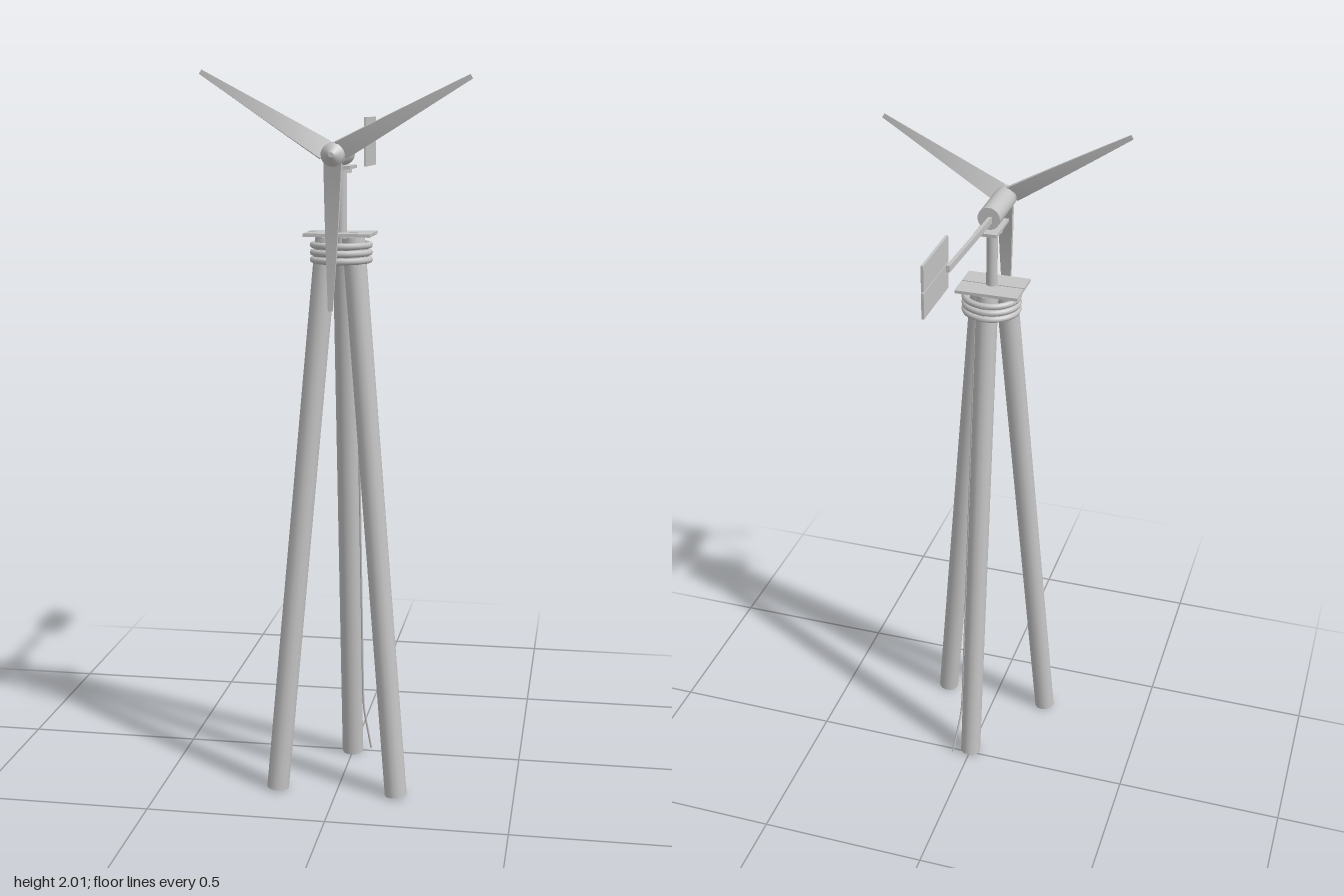
import * as THREE from 'three';

export function createModel() {
  const model = new THREE.Group();
  model.name = 'windPump';
  const grey = new THREE.MeshStandardMaterial({ color: 0xc4c4c4 });
  grey.name = 'grey metal';
  const AXIS_Z = 0.206; // tower centre line
  const HUB_Y = 1.79;

  const add = (name, geometry, x = 0, y = 0, z = 0, parent = model) => {
    const mesh = new THREE.Mesh(geometry, grey);
    mesh.name = name;
    mesh.position.set(x, y, z);
    parent.add(mesh);
    return mesh;
  };
  const box = (name, w, h, d, x, y, z) => add(name, new THREE.BoxGeometry(w, h, d), x, y, z);
  // Aligns a part's y axis with the line from a to b
  const between = (name, geometry, a, b) => {
    const mesh = add(name, geometry);
    mesh.position.addVectors(a, b).multiplyScalar(0.5);
    mesh.quaternion.setFromUnitVectors(new THREE.Vector3(0, 1, 0), b.clone().sub(a).normalize());
    return mesh;
  };

  // Three splayed legs
  ['leftLeg', 'backLeg', 'rightLeg'].forEach((name, i) => {
    const a = Math.PI / 3 + i * Math.PI * 2 / 3;
    const at = (r, y) => new THREE.Vector3(r * Math.sin(a), y, AXIS_Z + r * Math.cos(a));
    const foot = at(0.196, 0.005), top = at(0.042, 1.567);
    between(name, new THREE.CylinderGeometry(0.031, 0.031, foot.distanceTo(top), 14), foot, top);
  });

  // Binding rings around the leg tops
  for (let i = 0; i < 3; i++) {
    add('bindingRing', new THREE.TorusGeometry(0.077, 0.009, 8, 32).rotateX(Math.PI / 2),
      0, 1.506 + i * 0.02, AXIS_Z);
  }

  // Two-plank platform
  for (const z of [0.169, 0.239]) box('plank', 0.183, 0.009, 0.066, -0.003, 1.575, z);

  // Mast, flange and bed plate
  add('mast', new THREE.CylinderGeometry(0.016, 0.016, 0.25, 16), 0, 1.625, AXIS_Z);
  add('mastFlange', new THREE.CylinderGeometry(0.029, 0.029, 0.01, 20), 0, 1.744, AXIS_Z);
  box('bedPlate', 0.064, 0.009, 0.12, 0, 1.754, 0.2);

  // Generator body and pointed hub
  add('generator', new THREE.CylinderGeometry(0.032, 0.032, 0.153, 24).rotateX(Math.PI / 2), 0, HUB_Y, 0.2465);
  add('rotorShaft', new THREE.CylinderGeometry(0.012, 0.012, 0.02, 12).rotateX(Math.PI / 2), 0, HUB_Y, 0.327);
  add('hub', new THREE.CylinderGeometry(0.031, 0.031, 0.02, 20).rotateX(Math.PI / 2), 0, HUB_Y, 0.338);
  add('hubNose', new THREE.CylinderGeometry(0.007, 0.031, 0.021, 20).rotateX(Math.PI / 2), 0, HUB_Y, 0.3585);

  // Three tapered, slightly twisted blades
  const rotor = new THREE.Group();
  rotor.name = 'rotor';
  rotor.position.set(0, HUB_Y, 0.336);
  model.add(rotor);
  const blade = new THREE.BoxGeometry(1, 1, 1, 1, 8, 1);
  const p = blade.attributes.position;
  for (let i = 0; i < p.count; i++) {
    const t = 0.5 - p.getY(i); // 0 at the root, 1 at the tip
    const chord = p.getX(i) * (0.056 - 0.043 * t);
    const thick = p.getZ(i) * (0.007 - 0.003 * t);
    const pitch = 0.38 * (1 - t) + 0.05;
    p.setXYZ(i,
      -0.008 * t + chord * Math.cos(pitch) - thick * Math.sin(pitch),
      -0.022 - 0.388 * t,
      chord * Math.sin(pitch) + thick * Math.cos(pitch));
  }
  blade.computeVertexNormals();
  for (let i = 0; i < 3; i++) {
    add('blade', blade, 0, 0, 0, rotor).rotation.z = i * Math.PI * 2 / 3;
  }

  // Tail boom and two-panel vane
  const boomFront = new THREE.Vector3(-0.004, 1.787, 0.175);
  const boomBack = new THREE.Vector3(-0.004, 1.804, -0.2);
  between('tailBoom', new THREE.BoxGeometry(0.01, boomFront.distanceTo(boomBack), 0.018), boomFront, boomBack);
  box('upperVane', 0.007, 0.07, 0.195, 0.006, 1.85, -0.2725);
  box('lowerVane', 0.007, 0.07, 0.195, 0.006, 1.777, -0.2725);

  // Cable down the back leg, loose at the foot
  const cable = new THREE.CurvePath();
  const pts = [[0.033, 1.5, 0.158], [0.034, 0.2, 0.031], [0.036, 0.14, 0.024], [0.052, 0.005, -0.016]]
    .map(v => new THREE.Vector3(...v));
  for (let i = 0; i < 3; i++) cable.add(new THREE.LineCurve3(pts[i], pts[i + 1]));
  add('cable', new THREE.TubeGeometry(cable, 60, 0.003, 6));

  return model;
}
